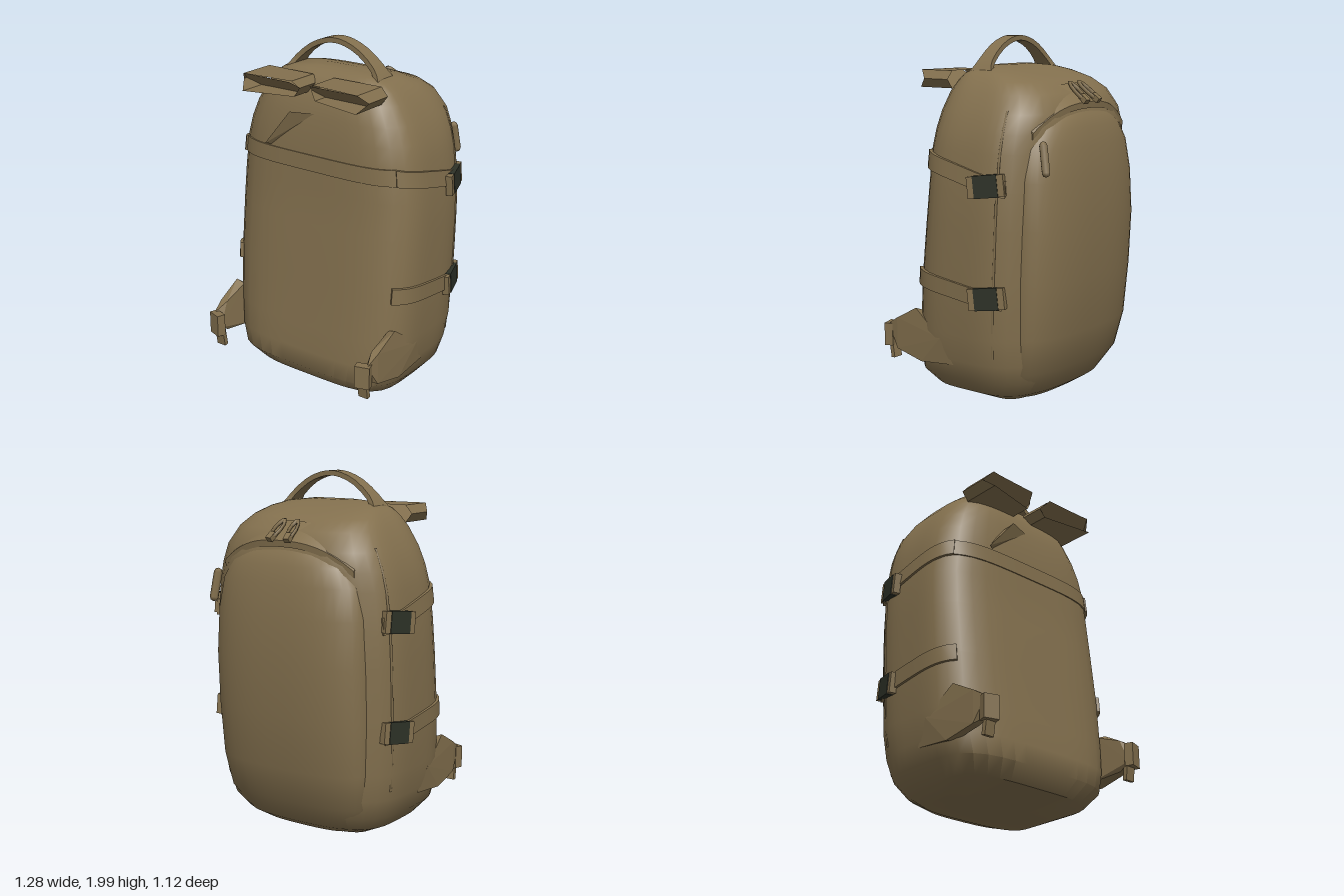
import * as THREE from 'three';
import { toCreasedNormals } from 'three/addons/utils/BufferGeometryUtils.js';
import { ConvexGeometry } from 'three/addons/geometries/ConvexGeometry.js';

const fabric = new THREE.MeshStandardMaterial({ color: 0x83704e, side: THREE.DoubleSide });
fabric.name = 'tan fabric';
const plastic = new THREE.MeshStandardMaterial({ color: 0x2d3127 });
plastic.name = 'dark buckle plastic';

// Cross-sections: height, half width, front z, back z
const BODY = [
  [0.008, 0.36, 0.02, -0.26], [0.055, 0.47, 0.32, -0.35], [0.14, 0.545, 0.39, -0.41], [0.25, 0.575, 0.39, -0.44],
  [0.4, 0.597, 0.37, -0.45], [0.7, 0.605, 0.345, -0.46], [1.0, 0.605, 0.31, -0.47], [1.2, 0.598, 0.29, -0.47],
  [1.4, 0.575, 0.28, -0.47], [1.5, 0.55, 0.27, -0.47], [1.6, 0.51, 0.255, -0.465], [1.7, 0.45, 0.23, -0.41],
  [1.76, 0.4, 0.2, -0.32], [1.8, 0.35, 0.17, -0.2], [1.825, 0.28, 0.13, -0.1], [1.84, 0.14, 0.08, -0.01],
];
const POCKET = [
  [0.015, 0.28, -0.15, -0.3], [0.06, 0.36, -0.15, -0.37], [0.2, 0.46, -0.15, -0.46], [0.4, 0.485, -0.15, -0.515],
  [0.7, 0.495, -0.15, -0.545], [1.0, 0.495, -0.15, -0.562], [1.25, 0.485, -0.15, -0.55], [1.42, 0.455, -0.15, -0.53],
  [1.52, 0.4, -0.15, -0.505], [1.58, 0.33, -0.15, -0.48], [1.63, 0.2, -0.15, -0.44],
];

// Point on a rounded-rectangle section; angle 0 is +x, 90 degrees is +z
function sectionPoint([y, hw, zf, zb], a, off = 0, nBack = 3.3) {
  const c = Math.cos(a), s = Math.sin(a), n = s > 0 ? 4.2 : nBack;
  const r = Math.pow(Math.pow(Math.abs(c), n) + Math.pow(Math.abs(s), n), -1 / n);
  return new THREE.Vector3((hw + off) * c * r, y, (zf + zb) / 2 + ((zf - zb) / 2 + off) * s * r);
}

function bodyPoint(y, a, off) {
  let i = 0;
  while (i < BODY.length - 2 && BODY[i + 1][0] < y) i++;
  const t = (y - BODY[i][0]) / (BODY[i + 1][0] - BODY[i][0]);
  return sectionPoint(BODY[i].map((v, k) => v + (BODY[i + 1][k] - v) * t), a, off);
}

// Skin over equal-length closed rings, with both ends capped
function skin(rings, crease = 0.6) {
  const n = rings[0].length, pos = [], idx = [];
  rings.forEach(r => r.forEach(p => pos.push(p.x, p.y, p.z)));
  for (let i = 0; i < rings.length - 1; i++) {
    for (let j = 0; j < n; j++) {
      const a = i * n + j, b = i * n + (j + 1) % n;
      idx.push(a, a + n, b, b, a + n, b + n);
    }
  }
  [0, rings.length - 1].forEach(i => {
    const c = rings[i].reduce((m, p) => m.add(p), new THREE.Vector3()).divideScalar(n);
    const k = pos.push(c.x, c.y, c.z) / 3 - 1;
    for (let j = 0; j < n; j++) {
      const a = i * n + j, b = i * n + (j + 1) % n;
      i ? idx.push(k, b, a) : idx.push(k, a, b);
    }
  });
  return creased(pos, idx, crease);
}

function creased(pos, idx, crease) {
  const g = new THREE.BufferGeometry();
  g.setAttribute('position', new THREE.Float32BufferAttribute(pos, 3));
  g.setIndex(idx);
  return toCreasedNormals(g, crease);
}

function loft(sections, nBack) {
  const N = 48;
  return skin(sections.map(s => Array.from({ length: N }, (_, j) => sectionPoint(s, -j / N * Math.PI * 2, 0, nBack)).reverse()), 0.7);
}

// Flat webbing lying on the body between two angles
function webbing(a0, a1, yAt, width, off, steps = 18) {
  const rings = [];
  for (let i = 0; i <= steps; i++) {
    const t = i / steps, a = a0 + (a1 - a0) * t, y = yAt(t), h = width / 2;
    rings.push([bodyPoint(y - h, a, -0.01), bodyPoint(y - h, a, off), bodyPoint(y + h, a, off), bodyPoint(y + h, a, -0.01)]);
  }
  return skin(a1 > a0 ? rings.reverse() : rings, 0.5);
}

export function createModel() {
  const model = new THREE.Group();
  model.name = 'backpack';
  const add = (name, geo, mat = fabric, parent = model) => {
    const m = new THREE.Mesh(geo, mat);
    m.name = name;
    parent.add(m);
    return m;
  };
  const V = (x, y, z) => new THREE.Vector3(x, y, z);

  add('mainBody', loft(BODY, 3.3));
  add('outerPocket', loft(POCKET, 2.6));

  // Carry handle: a flat arch flaring at its feet
  const arch = new THREE.CatmullRomCurve3([[-0.3, 1.8], [-0.255, 1.86], [-0.16, 1.937], [-0.07, 1.975], [0, 1.985], [0.07, 1.975], [0.16, 1.937], [0.255, 1.86], [0.3, 1.8]].map(([x, y]) => V(x, y, 0.03)));
  const handle = [];
  for (let i = 0; i <= 16; i++) {
    const p = arch.getPoint(i / 16), t = arch.getTangent(i / 16);
    const n = V(-t.y, t.x, 0).multiplyScalar(0.014), w = 0.04 + 0.035 * Math.pow(Math.abs(i / 8 - 1), 5);
    handle.push([[1, 1], [1, -1], [-1, -1], [-1, 1]].map(([u, v]) => p.clone().addScaledVector(n, u).add(V(0, 0, v * w))));
  }
  add('carryHandle', skin(handle, 0.5));

  // Weather flap over the pocket's zip
  const flap = [];
  for (let i = 0; i <= 20; i++) {
    const u = i / 10 - 1, x = 0.43 * u, y = 1.625 - 0.14 * Math.pow(Math.abs(u), 2.5), z = -0.475 + 0.06 * u * u;
    flap.push([V(x, y, z + 0.05), V(x, y - 0.01, z), V(x, y + 0.025, z - 0.003), V(x * 0.95, y + 0.12, z + 0.12)]);
  }
  add('zipFlap', skin(flap, 0.6));

  // Webbing across the wearer's side
  add('upperFrontWebbing', webbing(0.75, Math.PI - 0.75, () => 1.345, 0.09, 0.006, 30));

  for (const s of [1, -1]) {
    const side = new THREE.Group();
    side.name = s > 0 ? 'leftSide' : 'rightSide';
    model.add(side);
    const ang = a => (s > 0 ? a : Math.PI - a);

    // Compression straps with buckles
    for (const [y0, y1, name] of [[1.345, 1.22, 'upper'], [0.69, 0.62, 'lower']]) {
      add(name + 'CompressionStrap', webbing(ang(0.75), ang(-0.6), t => y0 + (y1 - y0) * t, 0.09, 0.014), fabric, side);
      const clip = new THREE.Group();
      clip.name = name + 'Buckle';
      clip.position.set(s * 0.592, y1 + 0.015, -0.235);
      clip.rotation.set(0.12, s * 0.3, 0);
      side.add(clip);
      add('buckleBody', new THREE.BoxGeometry(0.045, 0.12, 0.135), plastic, clip);
      for (const e of [0.085, -0.085]) {
        add('strapLoop', new THREE.BoxGeometry(0.038, 0.115, 0.035), fabric, clip).position.z = e;
      }
    }

    // Shoulder strap stub: a flattened sleeve with a recessed, sloping end
    const rim = [[0.04, 1.77], [0.07, 1.81], [0.38, 1.812], [0.42, 1.765], [0.38, 1.715], [0.07, 1.72]];
    const zTip = [0.33, 0.36, 0.39, 0.34, 0.4, 0.34];
    const wall = [], wallIdx = [], end = [], endIdx = [];
    rim.forEach(([x, y], k) => {
      wall.push(s * x, y, 0.17, s * x, y, zTip[k]);
      end.push(s * x, y, 0.24 + (y - 1.715) * 1.5);
      const a = k * 2, b = (k + 1) % 6 * 2;
      wallIdx.push(...(s > 0 ? [a, b, a + 1, b, b + 1, a + 1] : [a, a + 1, b, b, a + 1, b + 1]));
      if (k > 0 && k < 5) endIdx.push(...(s > 0 ? [0, k + 1, k] : [0, k, k + 1]));
    });
    add('shoulderStrapStub', creased(wall, wallIdx, 0.3), fabric, side);
    add('shoulderStrapEnd', creased(end, endIdx, 0.3), fabric, side);

    // Hip belt wing, its clip and webbing tail
    add('hipBeltWing', new ConvexGeometry([
      [0.57, 0.22, 0.02], [0.59, 0.36, 0.1], [0.57, 0.5, 0.29], [0.52, 0.48, 0.28], [0.5, 0.22, 0.24], [0.575, 0.2, 0.25],
      [0.565, 0.42, 0.44], [0.52, 0.42, 0.44], [0.565, 0.24, 0.44], [0.52, 0.24, 0.44], [0.55, 0.37, 0.52], [0.51, 0.28, 0.51],
    ].map(([x, y, z]) => V(s * x, y, z))), fabric, side);
    const clip = add('hipBeltClip', new THREE.BoxGeometry(0.085, 0.13, 0.05), fabric, side);
    clip.position.set(s * 0.525, 0.31, 0.52);
    clip.rotation.y = s * 0.3;
    const tail = add('hipBeltTail', new THREE.BoxGeometry(0.06, 0.14, 0.025), fabric, side);
    tail.position.set(s * 0.515, 0.24, 0.505);
    tail.rotation.x = 0.15;

    // Zip pull: a cord loop with a grip, lying on the flap
    const pull = new THREE.Group();
    pull.name = 'zipPull';
    pull.position.set(s * 0.05, 1.705, -0.435);
    pull.rotation.set(0.9, 0, s * 0.1);
    side.add(pull);
    add('cordLoop', new THREE.TorusGeometry(0.04, 0.012, 5, 10), fabric, pull).scale.set(0.55, 1.7, 1);
    add('grip', new THREE.BoxGeometry(0.035, 0.05, 0.03), fabric, pull).position.y = -0.06;

    // Side panel seam
    add('sidePanelSeam', new THREE.TubeGeometry(new THREE.CatmullRomCurve3(
      [0.3, 0.6, 0.9, 1.2, 1.45, 1.62].map(y => bodyPoint(y, ang(-0.5), -0.002))), 20, 0.008, 5), fabric, side);
  }

  // Loose pull tab beside the pocket
  const tab = add('sidePullTab', new THREE.CapsuleGeometry(0.024, 0.14, 2, 6), fabric);
  tab.position.set(0.435, 1.38, -0.495);
  tab.rotation.set(0.12, 0.7, 0.1);

  // Folded fabric below the shoulder strap
  add('strapFold', new ConvexGeometry([V(0, 1.615, 0.25), V(-0.14, 1.615, 0.295), V(-0.32, 1.4, 0.295), V(-0.28, 1.4, 0.27), V(-0.1, 1.55, 0.25), V(-0.2, 1.55, 0.25)]), fabric);

  return model;
}
